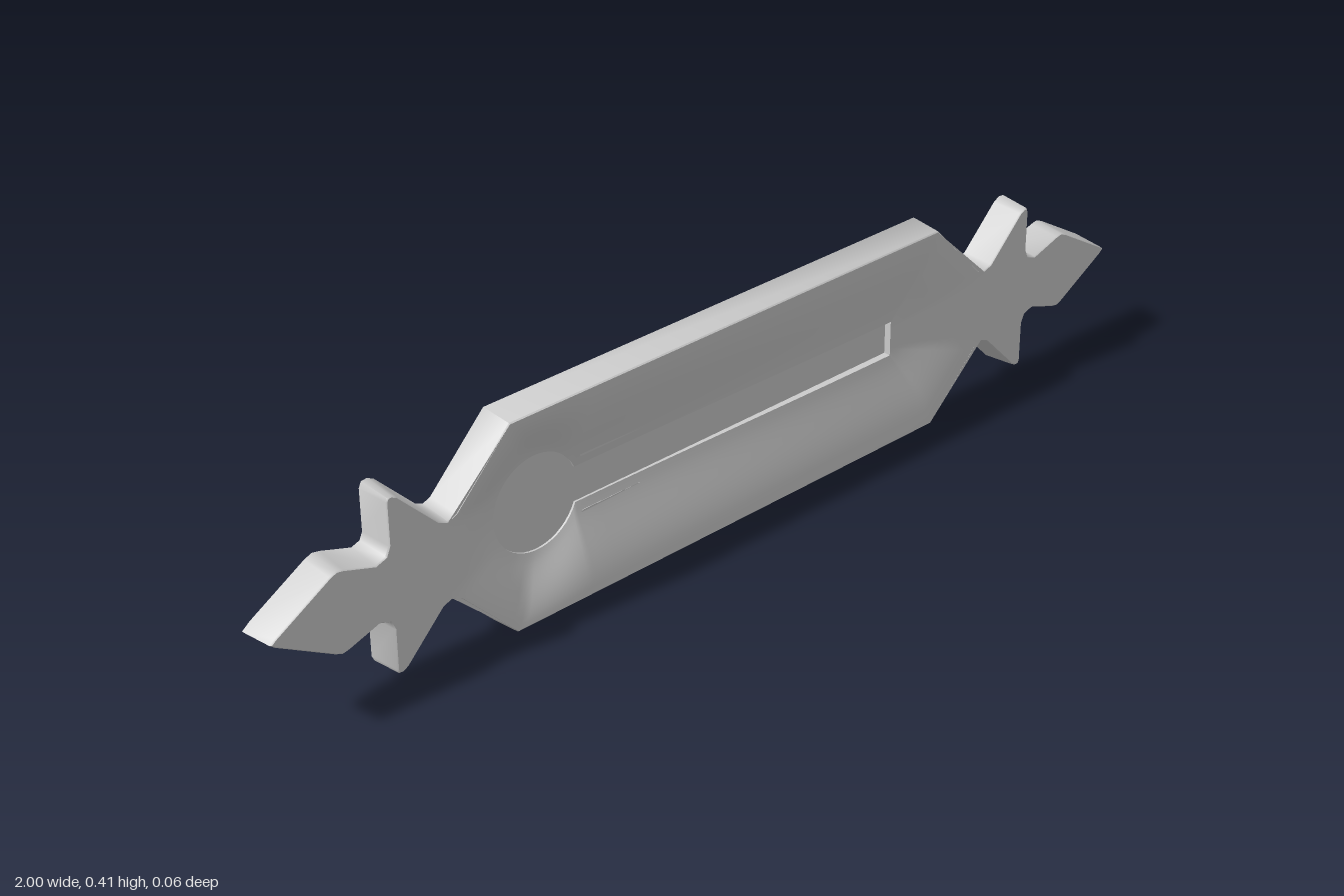
import * as THREE from 'three';
import { toCreasedNormals } from 'three/addons/utils/BufferGeometryUtils.js';

const MID = 0.207, FRONT = 0.032, BACK = -0.032;
const HOLE = { x: -0.425, r: 0.092, half: 0.035, end: 0.42 };
const V = (x, y) => new THREE.Vector2(x, y);
const { lerp, smoothstep } = THREE.MathUtils;

// Upper right quarter of the outline, from the tip to the shoulder
const QUARTER = [
  [1, 0], [0.985, 0.012], [0.875, 0.077], [0.86, 0.083], [0.845, 0.08], [0.785, 0.06], [0.768, 0.066],
  [0.762, 0.08], [0.762, 0.16], [0.757, 0.171], [0.745, 0.172], [0.732, 0.165],
  [0.655, 0.086], [0.64, 0.08], [0.625, 0.086], [0.508, 0.207],
];
const NECK = 13, SHOULDER = 15;

// Counter-clockwise loop of the whole plate, centred on y = 0
function outline() {
  const top = QUARTER.map(([x, y]) => V(x, y));
  const left = top.map(p => V(-p.x, p.y)).reverse();
  const upper = [...top, ...left];
  const lower = upper.slice(1, -1).reverse().map(p => V(p.x, -p.y));
  return [...upper, ...lower];
}

// Move a loop inward by d with mitred corners
function inset(loop, d) {
  const n = loop.length;
  return loop.map((p, i) => {
    const a = p.clone().sub(loop[(i + n - 1) % n]).normalize();
    const b = loop[(i + 1) % n].clone().sub(p).normalize();
    const m = V(-a.y - b.y, a.x + b.x).normalize();
    return p.clone().addScaledVector(m, d / Math.max(0.5, -m.x * a.y + m.y * a.x));
  });
}

// Closed surface strip between rows of equally many points
function loft(rows, flip) {
  const n = rows[0].length, index = [];
  for (let r = 0; r < rows.length - 1; r++) {
    for (let i = 0; i < n; i++) {
      const j = (i + 1) % n, a = r * n + i, b = r * n + j, c = a + n, d = b + n;
      if (flip) index.push(a, b, c, b, d, c);
      else index.push(a, c, b, b, c, d);
    }
  }
  const g = new THREE.BufferGeometry();
  g.setAttribute('position', new THREE.Float32BufferAttribute(rows.flat().flatMap(p => p.toArray()), 3));
  g.setIndex(index);
  g.computeVertexNormals();
  return g;
}

// Round hole with a long slot, enlarged by o
function keyhole(o, Type = THREE.Shape) {
  const s = new Type(), r = HOLE.r + o, h = HOLE.half + o, a = Math.asin(h / r);
  s.absarc(HOLE.x, 0, r, a, Math.PI * 2 - a, false);
  s.lineTo(HOLE.end + o, -h);
  s.lineTo(HOLE.end + o, h);
  s.closePath();
  return s;
}

// Matching points on the rim and keyhole, clockwise from the left neck
function dishPairs(neck, shoulder) {
  const a = Math.asin(HOLE.half / HOLE.r);
  const arc = t => V(HOLE.x + HOLE.r * Math.cos(t), HOLE.r * Math.sin(t));
  const upper = [];
  const span = (n, o1, o2, inner) => {
    for (let i = 0; i < n; i++) upper.push([o1.clone().lerp(o2, i / n), inner(i / n)]);
  };
  const nL = V(-neck.x, neck.y), sL = V(-shoulder.x, shoulder.y), join = V(-0.33, shoulder.y);
  const along = (p, q) => t => p.clone().lerp(q, t);
  const corner = V(HOLE.end, HOLE.half), low = V(HOLE.end, 0.02), end = V(HOLE.end, 0);
  span(4, V(nL.x, 0), nL, t => arc(lerp(Math.PI, 2.6, t)));
  span(8, nL, sL, t => arc(lerp(2.6, 1.75, t)));
  span(10, sL, join, t => arc(lerp(1.75, a, t)));
  span(16, join, shoulder, along(arc(a), corner));
  span(8, shoulder, neck, along(corner, low));
  span(4, neck, V(neck.x, 0), along(low, end));
  upper.push([V(neck.x, 0), end]);
  const lower = upper.slice(1, -1).reverse().map(pair => pair.map(p => V(p.x, -p.y)));
  return [...upper, ...lower];
}

export function createModel() {
  const group = new THREE.Group();
  const material = new THREE.MeshStandardMaterial({ color: 0xcccccc, side: THREE.DoubleSide });
  const add = (name, geometry) => {
    const mesh = new THREE.Mesh(geometry, material);
    mesh.name = name;
    mesh.position.y = MID;
    group.add(mesh);
  };
  const at = (loop, z) => loop.map(p => new THREE.Vector3(p.x, p.y, z));

  // Tapered side wall with a fine bevel at the front
  const base = outline(), rim = inset(base, 0.007);
  const wall = loft([at(base, BACK), at(inset(base, 0.005), 0.0295), at(rim, FRONT)], true);
  add('sideWall', toCreasedNormals(wall, 0.9));

  // Dished centre, deepest at the round hole and shallower along the slot
  const pairs = dishPairs(rim[NECK], rim[SHOULDER]);
  const depth = x => lerp(0.041, 0.031, smoothstep(x, -0.35, HOLE.end));
  const rows = [];
  for (let r = 0; r <= 12; r++) {
    const s = r / 12, t = Math.pow(s, 1.2);
    const sink = lerp(t, smoothstep(t, 0, 1), 0.4);
    rows.push(pairs.map(([o, i]) =>
      new THREE.Vector3(lerp(o.x, i.x, s), lerp(o.y, i.y, s), FRONT - depth(i.x) * sink)));
  }
  add('dishedCentre', loft(rows, false));

  // Upright step from the dish down to the keyhole floor
  const lip = rows[rows.length - 1];
  const foot = lip.map(p => new THREE.Vector3(p.x, p.y, -0.014));
  add('keyholeEdge', toCreasedNormals(loft([lip, foot], false), 0.6));

  // Flat pointed finials at both ends
  for (const side of [1, -1]) {
    const half = rim.slice(0, NECK + 1);
    const pts = [...half, ...half.slice(1).reverse().map(p => V(p.x, -p.y))];
    const g = new THREE.ShapeGeometry(new THREE.Shape(pts.map(p => V(p.x * side, p.y))));
    g.translate(0, 0, FRONT);
    add(side > 0 ? 'leftFinial' : 'rightFinial', g);
  }

  // Larger backing panel behind the keyhole, with a collar up to the dish
  const extrude = (shape, z, height) => toCreasedNormals(new THREE.ExtrudeGeometry(shape,
    { depth: height, bevelEnabled: false, curveSegments: 32 }).translate(0, 0, z), 0.6);
  add('keyholeBacking', extrude(keyhole(0.03), -0.02, 0.007));
  const ring = keyhole(0.03);
  ring.holes.push(keyhole(0.018, THREE.Path));
  add('backingCollar', extrude(ring, -0.013, 0.009));

  return group;
}
